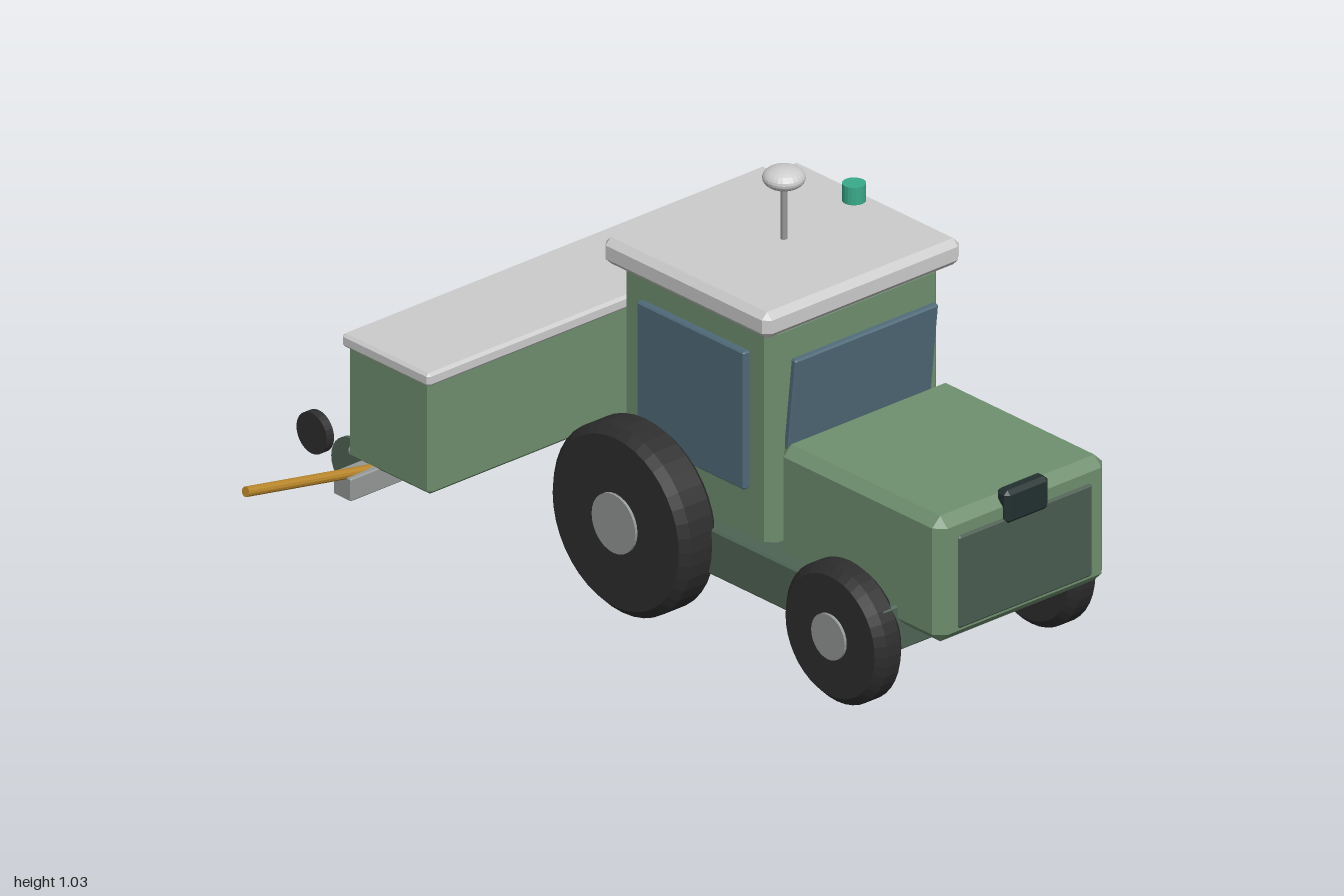
import * as THREE from 'three';
import { ConvexGeometry } from 'three/addons/geometries/ConvexGeometry.js';

const mat = (color) => new THREE.MeshStandardMaterial({ color, flatShading: true });
const M = {
  green: mat(0x6f8f6f), darkGreen: mat(0x4f6455), grille: mat(0x4a5c50), glass: mat(0x4f6a78),
  pale: mat(0xc0c4c0), steel: mat(0x949896), rubber: mat(0x2e2e2e), lamp: mat(0x22302f),
  orange: mat(0xb8862b), teal: mat(0x3aaa8a),
};

export function createModel() {
  const root = new THREE.Group();
  root.name = 'tractorWithSeeder';

  const add = (name, geometry, material, parent = root) => {
    const mesh = new THREE.Mesh(geometry, material);
    mesh.name = name;
    parent.add(mesh);
    return mesh;
  };

  // Box given by its limits, with every edge chamfered by c
  const block = (name, [x0, x1], [y0, y1], [z0, z1], material, c = 0.006, parent = root) => {
    const h = [(x1 - x0) / 2, (y1 - y0) / 2, (z1 - z0) / 2];
    const points = [];
    for (const sx of [-1, 1]) for (const sy of [-1, 1]) for (const sz of [-1, 1])
      for (let full = 0; full < 3; full++) {
        const [x, y, z] = h.map((v, i) => (i === full ? v : v - c));
        points.push(new THREE.Vector3(sx * x, sy * y, sz * z));
      }
    const mesh = add(name, new ConvexGeometry(points), material, parent);
    mesh.position.set((x0 + x1) / 2, (y0 + y1) / 2, (z0 + z1) / 2);
    return mesh;
  };

  // Round bar between two points
  const bar = (name, a, b, r, material, parent = root, sides = 12) => {
    const from = new THREE.Vector3(...a), to = new THREE.Vector3(...b);
    const dir = to.clone().sub(from);
    const mesh = add(name, new THREE.CylinderGeometry(r, r, dir.length(), sides), material, parent);
    mesh.position.copy(from).add(to).multiplyScalar(0.5);
    mesh.quaternion.setFromUnitVectors(new THREE.Vector3(0, 1, 0), dir.normalize());
    return mesh;
  };

  // Tyre with chamfered shoulders and a hub, axle along x
  const wheel = (name, side, xIn, xOut, r, z, hubR) => {
    const g = new THREE.Group();
    g.name = name;
    g.position.set(side * (xIn + xOut) / 2, r + 0.008, z);
    const w = (xOut - xIn) / 2, c = 0.02;
    const profile = [[0, -w], [r - c, -w], [r, -w + c], [r, w - c], [r - c, w], [0, w]]
      .map(([x, y]) => new THREE.Vector2(x, y));
    add('tyre', new THREE.LatheGeometry(profile, 40), M.rubber, g).rotation.z = Math.PI / 2;
    add('hub', new THREE.CylinderGeometry(hubR, hubR, 2 * w + 0.014, 28), M.steel, g).rotation.z = Math.PI / 2;
    root.add(g);
  };

  // Chassis and hitch
  block('chassis', [-0.3, 0.3], [0.16, 0.275], [-0.25, 0.74], M.darkGreen, 0.005);
  block('hitch', [-0.093, 0.093], [0.17, 0.23], [-0.415, -0.2], M.steel, 0.004);

  // Hood with grille and front lamp
  block('hood', [-0.255, 0.255], [0.22, 0.53], [0.34, 0.878], M.green, 0.024);
  block('grille', [-0.2, 0.2], [0.25, 0.478], [0.85, 0.884], M.grille, 0.005);
  block('frontLamp', [-0.065, 0.065], [0.463, 0.545], [0.852, 0.892], M.lamp, 0.01);

  // Cab, windows and roof
  block('cab', [-0.258, 0.258], [0.22, 0.81], [-0.172, 0.325], M.green, 0.022);
  for (const s of [-1, 1])
    block(s > 0 ? 'leftWindow' : 'rightWindow', [s * 0.264 - 0.011, s * 0.264 + 0.011],
      [0.39, 0.73], [-0.1, 0.255], M.glass, 0.004);
  const windshield = block('windshield', [-0.215, 0.215], [0.45, 0.73], [0.328, 0.346], M.glass, 0.004);
  windshield.rotation.x = 0.11;
  block('rearWindow', [-0.2, 0.2], [0.39, 0.71], [-0.185, -0.165], M.glass, 0.004);
  block('roof', [-0.295, 0.295], [0.797, 0.862], [-0.195, 0.352], M.pale, 0.016);

  // Roof antenna and beacon
  bar('antennaPole', [0, 0.85, 0.085], [0, 1.01, 0.085], 0.008, M.steel);
  const dome = add('antennaDome', new THREE.SphereGeometry(0.049, 24, 14), M.pale);
  dome.scale.y = 0.54;
  dome.position.set(0, 1.013, 0.085);
  bar('beacon', [0.215, 0.884, 0.08], [0.215, 0.927, 0.08], 0.027, M.teal, root, 20);

  // Wheels
  for (const s of [-1, 1]) {
    const n = s > 0 ? 'Left' : 'Right';
    wheel('rearWheel' + n, s, 0.272, 0.382, 0.228, -0.05, 0.072);
    wheel('frontWheel' + n, s, 0.252, 0.332, 0.167, 0.602, 0.055);
  }

  // Seeder hopper, lid and toolbar
  block('hopper', [-0.622, 0.622], [0.255, 0.535], [-0.67, -0.4], M.green, 0.008);
  block('hopperLid', [-0.633, 0.633], [0.527, 0.56], [-0.68, -0.392], M.pale, 0.007);
  block('toolbar', [-0.702, 0.702], [0.204, 0.26], [-0.63, -0.572], M.steel, 0.003);
  for (const s of [-1, 1])
    bar(s > 0 ? 'leftMarkerArm' : 'rightMarkerArm', [s * 0.61, 0.248, -0.595], [s * 0.997, 0.318, -0.595], 0.012, M.orange);

  // Six row units: arm, opener disc and press wheel
  for (let i = 0; i < 6; i++) {
    const unit = new THREE.Group();
    unit.name = 'rowUnit' + (i + 1);
    unit.position.x = (i - 2.5) * 0.227;
    bar('arm', [0, 0.258, -0.61], [0, 0.236, -0.715], 0.012, M.steel, unit);
    bar('openerDisc', [-0.005, 0.203, -0.715], [0.005, 0.203, -0.715], 0.064, M.darkGreen, unit, 28);
    bar('pressWheel', [-0.011, 0.238, -0.837], [0.011, 0.238, -0.837], 0.05, M.rubber, unit, 28);
    root.add(unit);
  }
  return root;
}
